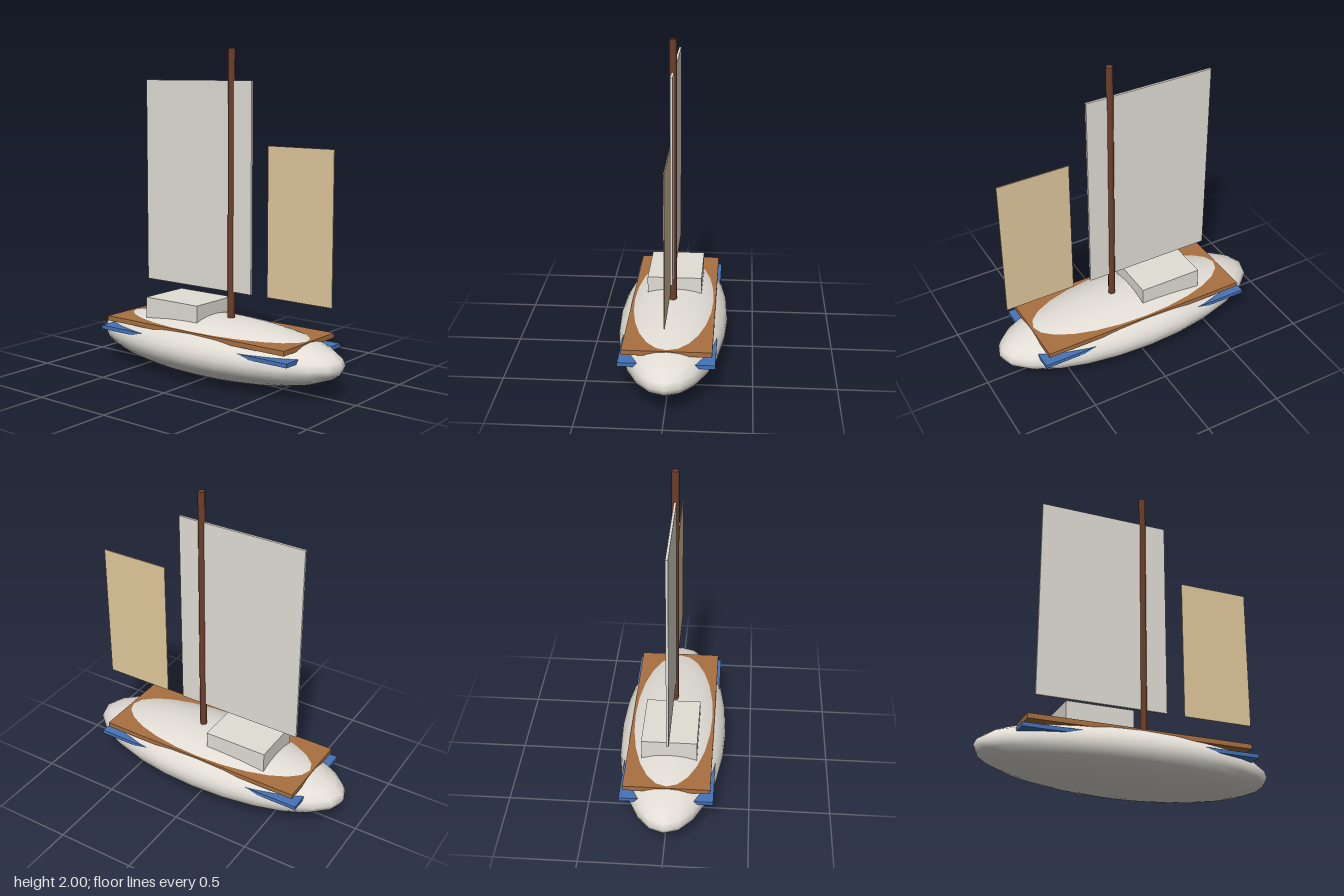
import * as THREE from 'three';

const paint = (name, color) => {
  const m = new THREE.MeshStandardMaterial({ color });
  m.name = name;
  return m;
};

export function createModel() {
  const boat = new THREE.Group();
  boat.name = 'sailboat';

  const ivory = paint('ivory', 0xe2ded6);
  const tan = paint('tan', 0xe0c89c);
  const wood = paint('deckWood', 0xa87040);
  const blue = paint('blue', 0x4573b8);
  const brown = paint('mastBrown', 0x6e402c);

  const add = (name, geometry, material, x, y, z) => {
    const mesh = new THREE.Mesh(geometry, material);
    mesh.name = name;
    mesh.position.set(x, y, z);
    boat.add(mesh);
    return mesh;
  };

  // box given by half width, y range and z range
  const slab = (name, material, halfX, y0, y1, z0, z1) =>
    add(name, new THREE.BoxGeometry(halfX * 2, y1 - y0, z1 - z0), material, 0, (y0 + y1) / 2, (z0 + z1) / 2);

  // ellipsoid hull
  const hull = new THREE.SphereGeometry(1, 24, 16).scale(0.337, 0.189, 0.905);
  add('hull', hull, ivory, 0, 0.189, 0);

  // slabs running through the hull, their corners showing outside
  slab('deck', wood, 0.262, 0.286, 0.316, -0.682, 0.682);
  slab('trimBand', blue, 0.282, 0.229, 0.253, -0.716, 0.716);

  // cabin behind the mast
  slab('cabin', ivory, 0.17, 0.3, 0.456, -0.433, -0.022);

  // mast
  add('mast', new THREE.CylinderGeometry(0.0225, 0.0225, 1.7, 8), brown, 0, 1.15, 0.11);

  // sails
  slab('mainSail', ivory, 0.0075, 0.535, 1.81, -0.563, 0.262);
  slab('foreSail', tan, 0.003, 0.535, 1.435, 0.38, 0.83);

  return boat;
}
